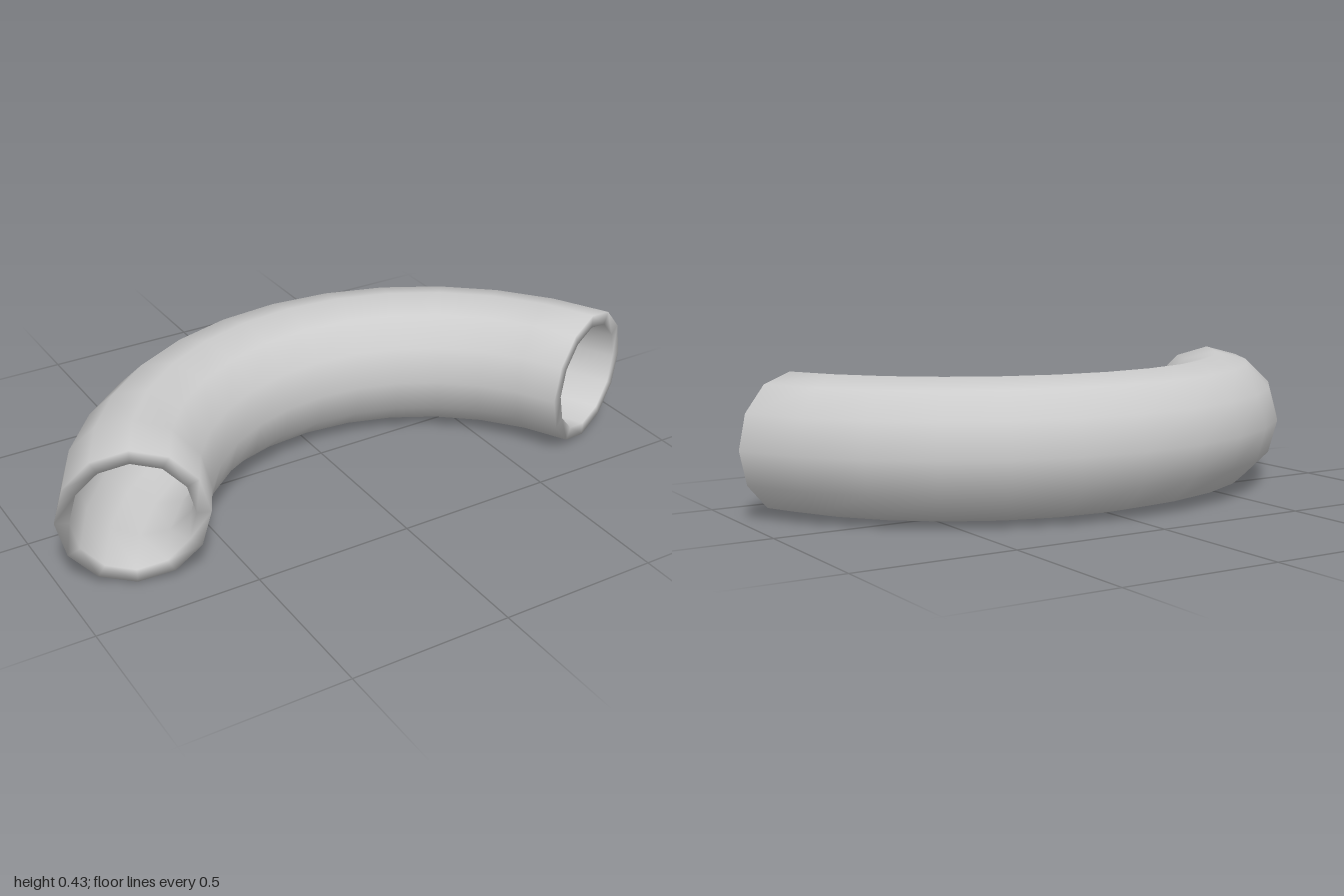
import * as THREE from 'three';

const BEND = 0.866;      // radius of the bend's centre line
const OUTER = 0.2165;    // outer pipe radius
const INNER = 0.175;     // bore radius
const CENTRE_Z = 0.665;  // centre of the bend
const SIDES = 12;
const STEPS = 12;
const START = Math.PI / 8;
const ARC = Math.PI * 0.75;

// Closed skin: along the outside, over the rim, back through the bore, over the other rim
function pipeGeometry() {
  const rings = [];
  for (let i = 0; i <= STEPS; i++) rings.push([i, OUTER]);
  for (let i = STEPS; i >= 0; i--) rings.push([i, INNER]);

  const positions = [];
  for (const [step, radius] of rings) {
    const t = START + (ARC * step) / STEPS;
    for (let j = 0; j < SIDES; j++) {
      const a = (j / SIDES) * Math.PI * 2;
      const d = BEND + radius * Math.cos(a);
      positions.push(d * Math.cos(t), OUTER + radius * Math.sin(a), CENTRE_Z - d * Math.sin(t));
    }
  }

  const index = [];
  for (let i = 0; i < rings.length; i++) {
    const p = i * SIDES;
    const q = ((i + 1) % rings.length) * SIDES;
    for (let j = 0; j < SIDES; j++) {
      const k = (j + 1) % SIDES;
      index.push(p + j, q + j, q + k, p + j, q + k, p + k);
    }
  }

  const geometry = new THREE.BufferGeometry();
  geometry.setAttribute('position', new THREE.Float32BufferAttribute(positions, 3));
  geometry.setIndex(index);
  geometry.computeVertexNormals(); // smooth, also over the rims
  return geometry;
}

export function createModel() {
  const group = new THREE.Group();
  group.name = 'curvedPipe';
  const pipe = new THREE.Mesh(pipeGeometry(), new THREE.MeshStandardMaterial({ color: 0xcccccc }));
  pipe.name = 'pipe';
  group.add(pipe);
  return group;
}
